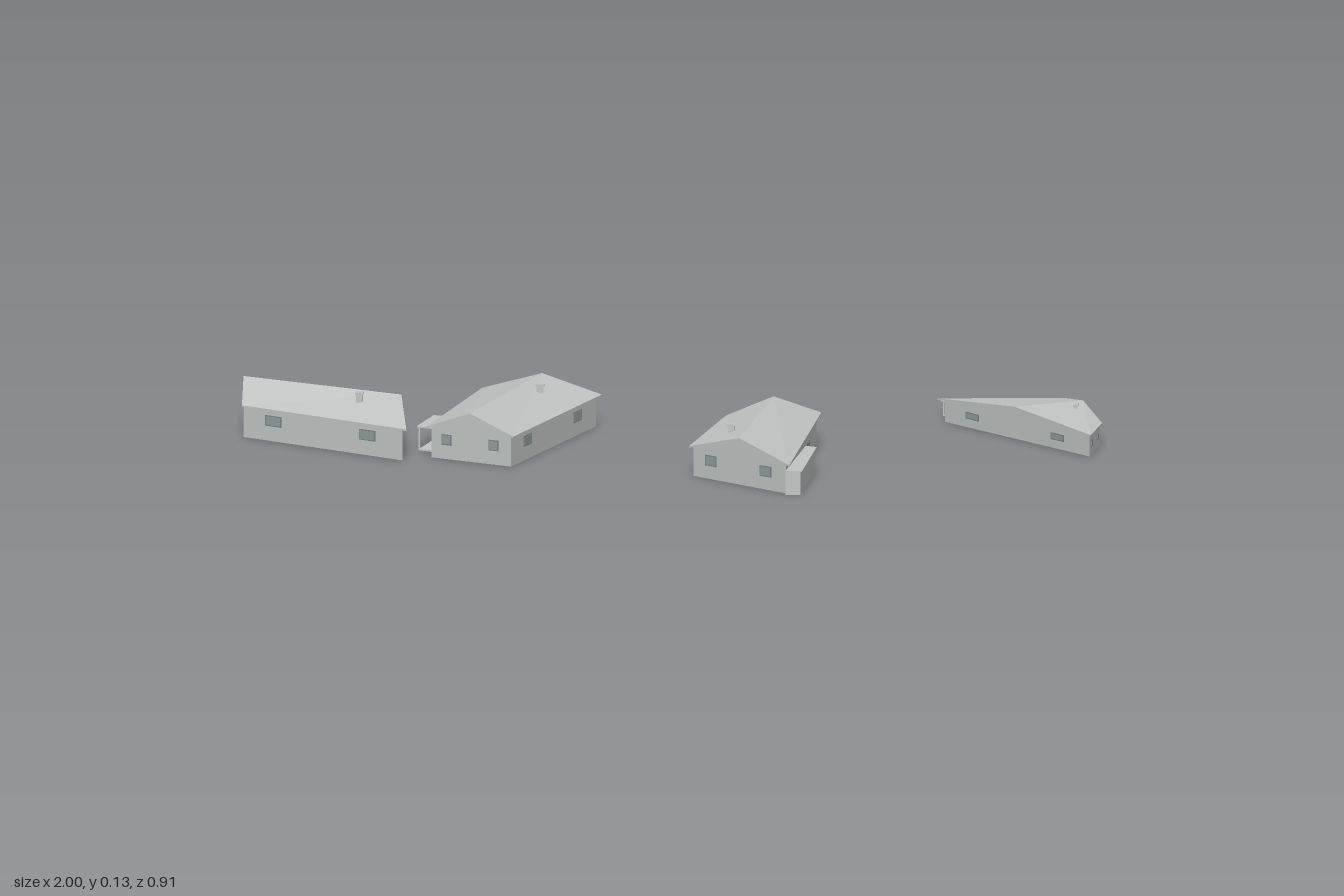
import * as THREE from 'three';

const mat = (name, color) => {
  const m = new THREE.MeshStandardMaterial({ color });
  m.name = name;
  return m;
};
const wallMat = mat('wall grey', 0xc0c5c3);
const roofMat = mat('roof grey', 0xc1c4c2);
const frameMat = mat('frame grey', 0x7c8485);
const glassMat = mat('glass grey', 0x8f9c9e);

const named = (name, geometry, material) => {
  const m = new THREE.Mesh(geometry, material);
  m.name = name;
  return m;
};
const lerp = (p, q, t) => [p[0] + (q[0] - p[0]) * t, p[1] + (q[1] - p[1]) * t];

// Solid over a plan polygon (counter-clockwise from above) with a low and a high y per corner
function prism(pts, low, high) {
  const n = pts.length, v = [];
  const lo = i => [pts[i % n][0], low[i % n], pts[i % n][1]];
  const hi = i => [pts[i % n][0], high[i % n], pts[i % n][1]];
  for (let i = 0; i < n; i++) {
    v.push(...lo(i), ...lo(i + 1), ...hi(i + 1), ...lo(i), ...hi(i + 1), ...hi(i));
    if (i > 0 && i < n - 1) v.push(...hi(0), ...hi(i), ...hi(i + 1), ...lo(0), ...lo(i + 1), ...lo(i));
  }
  const g = new THREE.BufferGeometry();
  g.setAttribute('position', new THREE.Float32BufferAttribute(v, 3));
  g.computeVertexNormals();
  return g;
}
const slab = (pts, y0, y1) => prism(pts, pts.map(() => y0), pts.map(() => y1));

// Moves each edge of the plan inwards by its own distance
function inset(pts, dist) {
  const lines = pts.map((p, i) => {
    const q = pts[(i + 1) % 4], dx = q[0] - p[0], dz = q[1] - p[1], l = Math.hypot(dx, dz);
    return { x: p[0] + dz / l * dist[i], z: p[1] - dx / l * dist[i], dx, dz };
  });
  return lines.map((b, i) => {
    const a = lines[(i + 3) % 4];
    const t = ((b.x - a.x) * b.dz - (b.z - a.z) * b.dx) / (a.dx * b.dz - a.dz * b.dx);
    return [a.x + a.dx * t, a.z + a.dz * t];
  });
}

// Thin framed pane on the wall from p to q
function pane(name, p, q, t, w, y0, y1) {
  const g = new THREE.Group();
  g.name = name;
  const dx = q[0] - p[0], dz = q[1] - p[1], [x, z] = lerp(p, q, t);
  g.position.set(x, (y0 + y1) / 2, z);
  g.rotation.y = Math.atan2(-dz, dx);
  const h = y1 - y0;
  g.add(named('frame', new THREE.BoxGeometry(w, h, 0.004), frameMat));
  g.add(named('glass', new THREE.BoxGeometry(w - 0.005, h - 0.005, 0.006), glassMat));
  return g;
}

// Small porch; corners 0 and 3 are the outer ones
function porch({ pts, top, solid }) {
  const g = new THREE.Group();
  g.name = 'porch';
  const [o0, i1, i2, o3] = pts;
  const plan = [o0, lerp(o0, i1, 1.3), lerp(o3, i2, 1.3), o3];
  g.add(named('porchRoof', slab(plan, top - 0.003, top), roofMat));
  const inner = inset(plan, [0.004, 0, 0.004, 0.005]);
  if (solid) {
    g.add(named('porchWalls', slab(inner, 0, top - 0.003), wallMat));
    return g;
  }
  g.add(named('porchFloor', slab(inner, 0, 0.004), wallMat));
  for (const [x, z] of inner) {
    const post = named('porchPost', new THREE.BoxGeometry(0.004, top - 0.002, 0.004), wallMat);
    post.position.set(x, (top - 0.002) / 2, z);
    g.add(post);
  }
  return g;
}

// Gabled house on a skewed four-sided plan; edges 0 and 2 are the gables
function house(h) {
  const g = new THREE.Group();
  g.name = h.name;
  const { plan, eave: e, ridge: r } = h;

  // Roof slopes
  const halves = ([a, b, c, d]) => {
    const r1 = lerp(a, b, 0.5), r2 = lerp(c, d, 0.5);
    return [[b, c, r2, r1], [d, a, r1, r2]];
  };
  for (const s of halves(plan))
    g.add(named('roofSlope', prism(s, [e - 0.004, e - 0.004, r - 0.004, r - 0.004], [e, e, r, r]), roofMat));

  // Walls under the overhang
  const walls = inset(plan, h.inset ?? [0.01, 0.01, 0.01, 0.01]);
  for (const s of halves(walls))
    g.add(named('walls', prism(s, [0, 0, 0, 0], [e - 0.001, e - 0.001, r - 0.004, r - 0.004]), wallMat));

  // Two windows on every free wall
  walls.forEach((p, i) => {
    const q = walls[(i + 1) % 4], len = Math.hypot(q[0] - p[0], q[1] - p[1]);
    for (const t of [0.19, 0.78]) {
      if (h.doorWall === i) continue;
      g.add(pane('window', p, q, t, Math.min(0.12 * len, 0.045), h.win[0], h.win[1]));
    }
    if (h.doorWall === i) g.add(pane('wideDoor', p, q, 0.71, 0.048, 0.003, 0.04));
  });

  // Chimney with cap
  const [x, z, y, w] = h.chimney;
  const stack = named('chimney', new THREE.BoxGeometry(w * 0.8, 0.03, w), wallMat);
  stack.position.set(x, y - 0.017, z);
  const cap = named('chimneyCap', new THREE.BoxGeometry(w, 0.004, w * 1.25), roofMat);
  cap.position.set(x, y - 0.002, z);
  g.add(stack, cap);

  g.add(porch(h.porch));
  return g;
}

const HOUSES = [
  {
    name: 'farLeftHouse', eave: 0.077, ridge: 0.122, win: [0.035, 0.06],
    plan: [[-1, -0.39], [-1, -0.155], [-0.61, 0.105], [-0.645, -0.255]],
    inset: [0.003, 0.01, 0.008, 0.01], chimney: [-0.725, -0.08, 0.126, 0.02],
    porch: { top: 0.058, pts: [[-0.945, -0.413], [-0.945, -0.37], [-0.84, -0.345], [-0.845, -0.38]] },
  },
  {
    name: 'middleLeftHouse', eave: 0.074, ridge: 0.117, win: [0.033, 0.058],
    plan: [[-0.565, 0.055], [-0.36, 0.163], [-0.17, -0.318], [-0.45, -0.385]],
    chimney: [-0.31, -0.215, 0.121, 0.02],
    porch: { top: 0.058, pts: [[-0.59, -0.025], [-0.545, 0], [-0.515, -0.137], [-0.555, -0.15]] },
  },
  {
    name: 'middleRightHouse', eave: 0.071, ridge: 0.113, win: [0.031, 0.056], doorWall: 1,
    plan: [[0.05, 0.243], [0.29, 0.45], [0.345, -0.147], [0.125, -0.107]],
    chimney: [0.147, 0.2, 0.117, 0.018],
    porch: { top: 0.058, solid: true, pts: [[0.345, 0.18], [0.325, 0.17], [0.29, 0.45], [0.32, 0.45]] },
  },
  {
    name: 'farRightHouse', eave: 0.054, ridge: 0.078, win: [0.02, 0.036],
    plan: [[0.607, -0.395], [0.975, 0.007], [0.997, -0.13], [0.9, -0.41]],
    inset: [0.008, 0.006, 0.006, 0.008], chimney: [0.933, -0.207, 0.082, 0.012],
    porch: { top: 0.036, pts: [[0.61, -0.46], [0.66, -0.4], [0.725, -0.405], [0.68, -0.46]] },
  },
];

export function createModel() {
  const model = new THREE.Group();
  model.name = 'houses';
  for (const h of HOUSES) model.add(house(h));
  return model;
}
